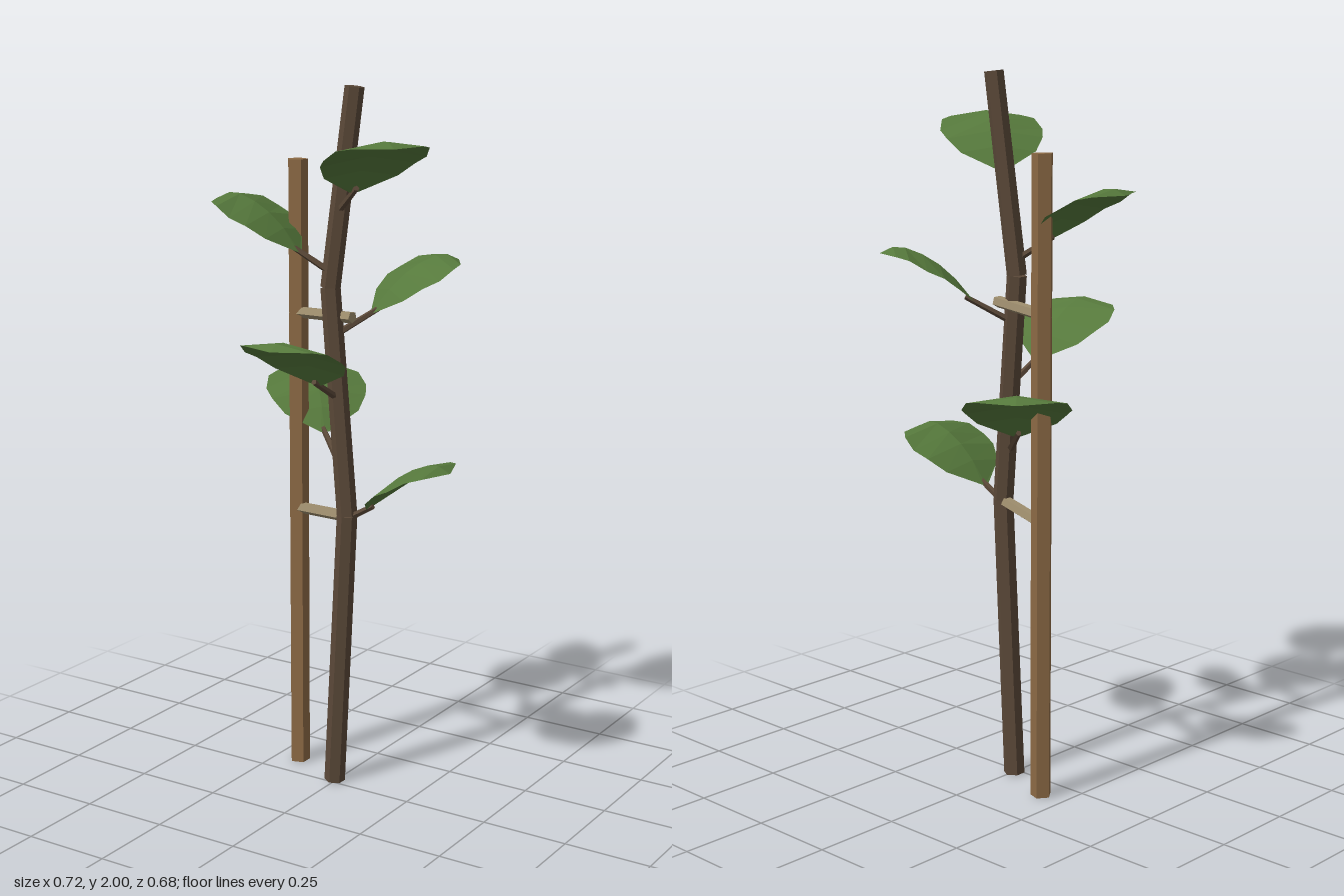
import * as THREE from 'three';

const mat = (color, extra = {}) =>
  new THREE.MeshStandardMaterial({ color, flatShading: true, ...extra });

const bark = mat(0x5a4838);
const wood = mat(0x8c6a45);
const twine = mat(0x9c8c6c);
const green = mat(0x56793c, { side: THREE.DoubleSide });

// Straight faceted rod between two points
function rod(name, from, to, r0, r1, sides, material) {
  const a = new THREE.Vector3(...from), b = new THREE.Vector3(...to);
  const dir = b.clone().sub(a);
  const mesh = new THREE.Mesh(new THREE.CylinderGeometry(r1, r0, dir.length(), sides), material);
  mesh.name = name;
  mesh.position.copy(a).add(b).multiplyScalar(0.5);
  mesh.quaternion.setFromUnitVectors(new THREE.Vector3(0, 1, 0), dir.normalize());
  return mesh;
}

// Leaf growing along +z from its base: [distance out, height, half width] per row
const LEAF_ROWS = [
  [0, 0, 0.012], [0.05, 0.062, 0.107], [0.095, 0.103, 0.137], [0.14, 0.131, 0.147],
  [0.187, 0.15, 0.133], [0.22, 0.152, 0.102], [0.255, 0.136, 0.004],
];

function leafGeometry() {
  const pos = [], index = [];
  LEAF_ROWS.forEach(([out, up, w], i) => {
    // the edges hang below the midrib, a little more on every other row
    const drop = w * w * 1.15 + (i % 2) * w * 0.03;
    pos.push(-w, up - drop, out, 0, up, out, w, up - drop, out);
    if (i === 0) return;
    const p = (i - 1) * 3, q = i * 3;
    index.push(p, q, p + 1, p + 1, q, q + 1);
    index.push(p + 1, q + 1, p + 2, p + 2, q + 1, q + 2);
  });
  const geo = new THREE.BufferGeometry();
  geo.setAttribute('position', new THREE.Float32BufferAttribute(pos, 3));
  geo.setIndex(index);
  geo.computeVertexNormals();
  return geo;
}

// Where each stalk leaves the trunk, where its leaf starts, which way it points
const LEAVES = [
  { root: [0.0, 1.665, -0.035], base: [0.085, 1.725, 0.03], dir: [0.83, 0.56], rise: 1 },
  { root: [-0.02, 1.49, -0.03], base: [-0.107, 1.547, 0.0], dir: [-0.99, 0.11], rise: 1 },
  { root: [-0.01, 1.32, -0.03], base: [0.061, 1.378, -0.108], dir: [0.62, -0.78], rise: 1 },
  { root: [0.0, 1.145, -0.02], base: [0.005, 1.2, 0.082], dir: [0.07, 1], rise: 1 },
  { root: [0.01, 0.955, -0.02], base: [-0.088, 1.02, -0.095], dir: [-0.68, -0.73], rise: 1 },
  { root: [0.035, 0.8, -0.02], base: [0.105, 0.84, -0.02], dir: [1, -0.03], rise: 1 },
];

export function createModel() {
  const model = new THREE.Group();
  model.name = 'stakedSapling';

  // Crooked trunk in three straight lengths
  const trunk = new THREE.Group();
  trunk.name = 'trunk';
  const joints = [[-0.005, 0, -0.018], [0.035, 0.81, -0.02], [-0.028, 1.45, -0.032], [0.033, 1.997, -0.057]];
  for (let i = 0; i < 3; i++) {
    trunk.add(rod('trunkLength', joints[i], joints[i + 1], 0.03 - i * 0.001, 0.029 - i * 0.001, 6, bark));
  }
  model.add(trunk);

  // Support stake
  const stake = rod('stake', [-0.174, 0, -0.088], [-0.174, 1.79, -0.088], 0.03, 0.03, 5, wood);
  stake.rotation.y = -Math.PI / 2;
  model.add(stake);

  // Ties holding the trunk to the stake
  model.add(rod('lowerTie', [-0.19, 0.785, -0.09], [0.035, 0.806, -0.022], 0.017, 0.017, 5, twine));
  model.add(rod('upperTie', [-0.19, 1.36, -0.088], [0.04, 1.372, -0.038], 0.017, 0.017, 5, twine));

  // Leaves on short stalks
  const geo = leafGeometry();
  for (const { root, base, dir, rise } of LEAVES) {
    const branch = new THREE.Group();
    branch.name = 'leafBranch';
    const end = base.map((v, i) => v + (v - root[i]) * 0.22);
    branch.add(rod('leafStalk', root, end, 0.01, 0.008, 5, bark));
    const leaf = new THREE.Mesh(geo, green);
    leaf.name = 'leaf';
    leaf.position.set(...base);
    leaf.rotation.y = Math.atan2(dir[0], dir[1]);
    leaf.scale.y = rise;
    branch.add(leaf);
    model.add(branch);
  }
  return model;
}
